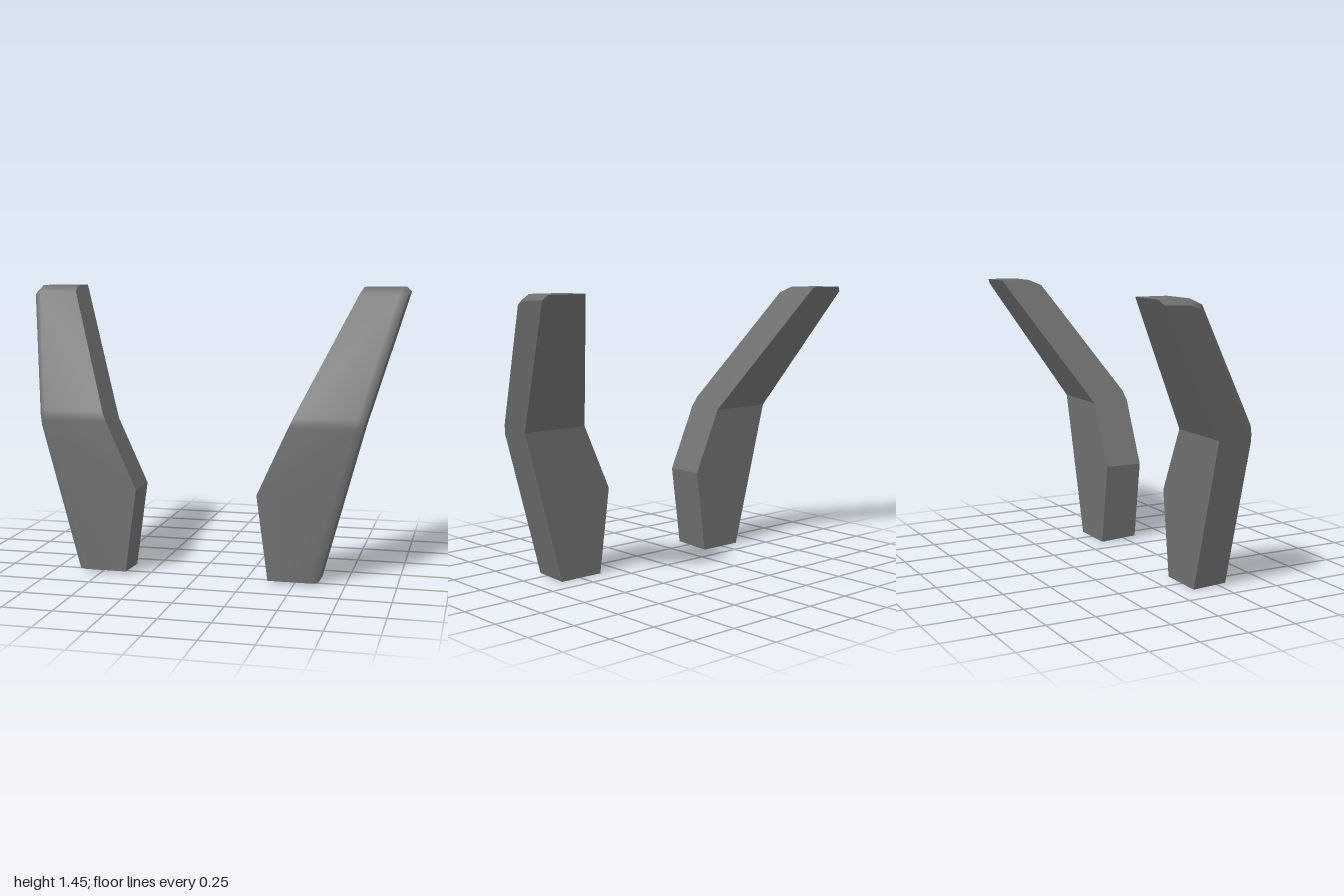
import * as THREE from 'three';
import { mergeGeometries } from 'three/addons/utils/BufferGeometryUtils.js';

// Inner and outer silhouette of a support at height y
const innerX = y => (y < 0.44 ? 0.37 - 0.06 * y / 0.44 : 0.31 + 0.46 * (y - 0.44) / 1.01);
const outerX = y => 0.615 + 0.27 * y;

// Stations from foot to tip: [y, z] of the front face, the chamfer edge and the back face
const STATIONS = [
  [[0.012, 0.31], [0.01, 0.285], [0, 0.105]],
  [[0.44, 0.31], [0.44, 0.285], [0.44, 0.105]],
  [[0.78, 0.31], [0.75, 0.285], [0.775, 0.105]],
  [[0.83, 0.295], [0.80, 0.267], [0.80, 0.09]],
  [[1.42, -0.08], [1.40, -0.1], [1.42, -0.292]],
  [[1.45, -0.15], [1.42, -0.155], [1.45, -0.31]],
];

// Six corners per station: inner front, outer front, chamfer, outer back (twice), inner back
function section([f, c, b], i) {
  const tip = i === STATIONS.length - 1;
  const outerBack = [outerX(b[0]), ...b];
  return [
    [innerX(f[0]), ...f],
    [outerX(f[0]) - 0.04, ...f],
    [outerX(c[0]), ...c],
    tip ? [1, 1.425, -0.295] : outerBack,
    tip ? [0.975, 1.45, -0.31] : outerBack,
    [innerX(b[0]), ...b],
  ];
}

function supportGeometry(side) {
  const points = STATIONS.flatMap(section).map(([x, y, z]) => [x * side, y, z]);
  const smooth = [], flat = [];
  const tri = (list, a, b, c) => list.push(...(side > 0 ? [a, b, c] : [a, c, b]));

  // Walls: the front and its chamfer are smooth, the other sides are flat
  for (let i = 0; i < STATIONS.length - 1; i++) {
    for (let j = 0; j < 6; j++) {
      if (j === 3 && i < STATIONS.length - 2) continue;
      const list = j < 2 ? smooth : flat;
      const a = i * 6 + j, b = i * 6 + (j + 1) % 6;
      tri(list, a, b, b + 6);
      tri(list, a, b + 6, a + 6);
    }
  }
  // Tip continues the smooth front skin; foot is flat
  const t = (STATIONS.length - 1) * 6;
  for (const [a, b] of [[5, 0], [0, 1], [1, 2], [2, 3]]) tri(smooth, t + 4, t + a, t + b);
  for (const [a, b] of [[0, 1], [1, 2], [2, 3]]) tri(flat, 5, b, a);

  const build = index => {
    const g = new THREE.BufferGeometry();
    g.setAttribute('position', new THREE.Float32BufferAttribute(points.flat(), 3));
    g.setIndex(index);
    return g;
  };
  const skin = build(smooth);
  skin.computeVertexNormals();
  const body = build(flat).toNonIndexed();
  body.computeVertexNormals();
  return mergeGeometries([skin.toNonIndexed(), body]);
}

export function createModel() {
  const group = new THREE.Group();
  group.name = 'supportPair';
  const grey = new THREE.MeshStandardMaterial({ color: 0x707070 });
  grey.name = 'grey';
  for (const [side, name] of [[1, 'leftSupport'], [-1, 'rightSupport']]) {
    const mesh = new THREE.Mesh(supportGeometry(side), grey);
    mesh.name = name;
    group.add(mesh);
  }
  return group;
}
